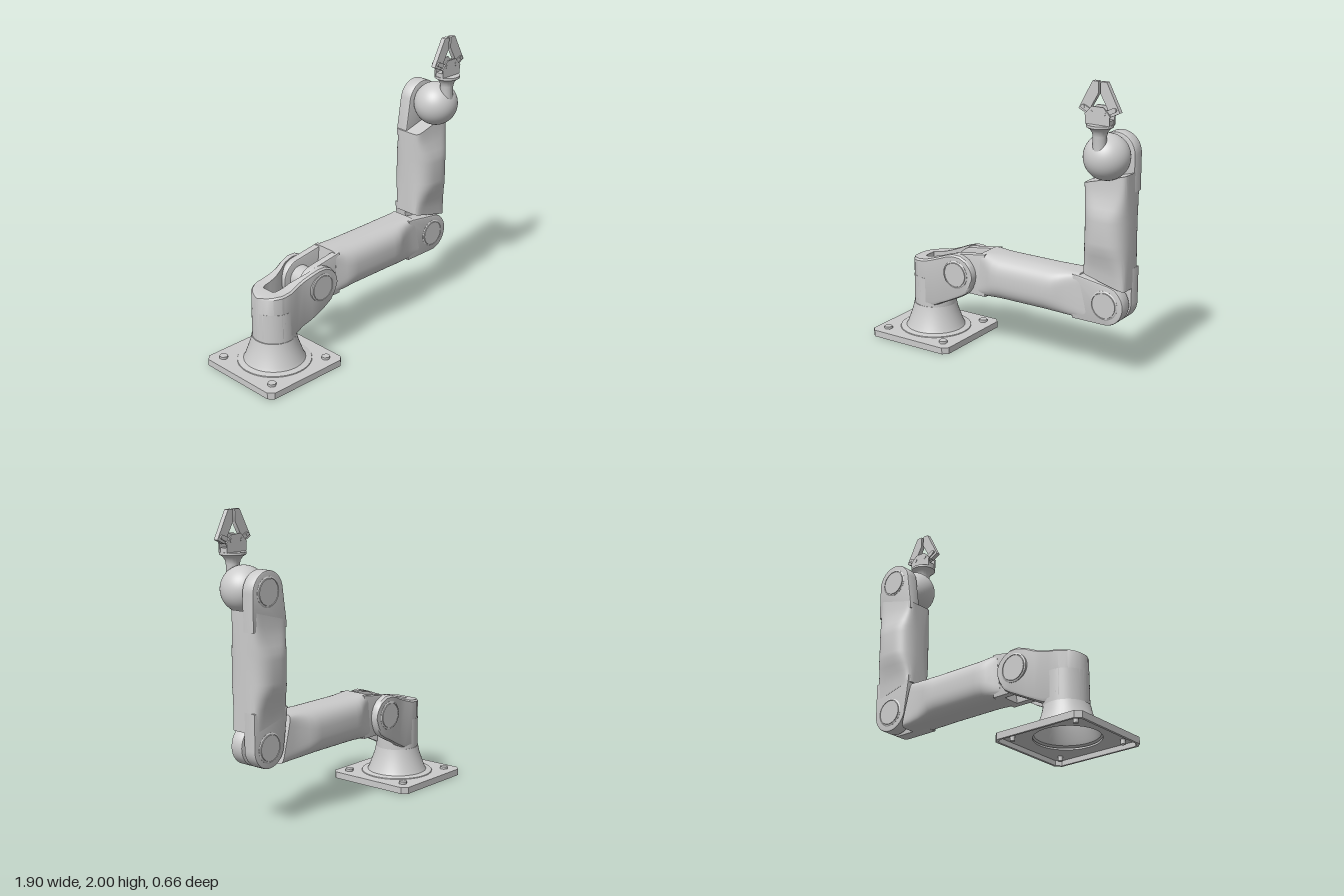
import * as THREE from 'three';
import { toCreasedNormals } from 'three/addons/utils/BufferGeometryUtils.js';

const grey = new THREE.MeshStandardMaterial({ color: 0xcccccc });
const greyOpen = new THREE.MeshStandardMaterial({ color: 0xcccccc, side: THREE.DoubleSide });

function add(parent, name, geometry, x = 0, y = 0, z = 0, material = grey) {
  const mesh = new THREE.Mesh(geometry, material);
  mesh.name = name;
  mesh.position.set(x, y, z);
  parent.add(mesh);
  return mesh;
}

// Closed skin over a row of cross-sections running along +x
function loft(sections, crease = 0.6) {
  const pos = [];
  const tri = (...pts) => pts.forEach((p) => pos.push(...p));
  const centre = (s) => [0, 1, 2].map((k) => s.reduce((t, p) => t + p[k], 0) / s.length);
  const n = sections[0].length;
  const first = sections[0], last = sections[sections.length - 1];
  const c0 = centre(first), c1 = centre(last);
  for (let i = 0; i < n; i++) {
    const j = (i + 1) % n;
    for (let k = 0; k < sections.length - 1; k++) {
      const a = sections[k], b = sections[k + 1];
      tri(a[i], a[j], b[i]);
      tri(a[j], b[j], b[i]);
    }
    tri(c0, first[j], first[i]);
    tri(c1, last[i], last[j]);
  }
  const g = new THREE.BufferGeometry();
  g.setAttribute('position', new THREE.Float32BufferAttribute(pos, 3));
  return toCreasedNormals(g, crease);
}

// Flat shape extruded from z0 to z1 with a small bevel
function slab(shape, z0, z1, bevel = 0.008) {
  const g = new THREE.ExtrudeGeometry(shape, {
    depth: z1 - z0 - 2 * bevel, bevelEnabled: bevel > 0, bevelThickness: bevel,
    bevelSize: bevel, bevelOffset: -bevel, bevelSegments: 2, curveSegments: 24,
  });
  g.translate(0, 0, z0 + bevel);
  return toCreasedNormals(g, 0.6);
}

const polygon = (pts) => new THREE.Shape(pts.map(([x, y]) => new THREE.Vector2(x, y)));

// Round joint cap: a raised disc inside a fine groove; side is +1 or -1 in z
function cap(parent, x, y, z, side) {
  const pts = [[0.098, -0.02], [0.098, 0.002], [0.092, 0.006], [0.088, 0.006], [0.087, 0.002],
    [0.084, 0.002], [0.083, 0.007], [0, 0.007]].map(([r, h]) => new THREE.Vector2(r, h));
  const mesh = add(parent, 'jointCap', toCreasedNormals(new THREE.LatheGeometry(pts, 48), 0.4), x, y, z);
  mesh.rotation.x = side * Math.PI / 2;
}

// Rounded lug about a joint; dir points from the joint towards the body
function lug(parent, name, jointX, dir, reach, z0, z1) {
  const pts = [];
  for (let i = 0; i <= 28; i++) {
    const a = -Math.PI / 2 - (i / 28) * Math.PI * 0.93;
    pts.push([jointX + dir * 0.135 * Math.cos(a), 0.135 * Math.sin(a)]);
  }
  pts.push([jointX + dir * 0.2, 0.166], [jointX + dir * reach, 0.168], [jointX + dir * reach, -0.135]);
  add(parent, name, slab(polygon(pts), z0, z1));
}

// Swelling limb body between two joints; stations are [x, halfWidth, squareness, slant]
function limbBody(parent, name, stations) {
  const top = 0.173, bottom = -0.135, mid = (top + bottom) / 2, half = (top - bottom) / 2;
  const pw = (v, n) => Math.sign(v) * Math.abs(v) ** (2 / n);
  add(parent, name, loft(stations.map(([x, w, n, slant]) => {
    const ring = [];
    for (let i = 0; i < 56; i++) {
      const a = (i / 56) * Math.PI * 2;
      const y = mid + half * pw(Math.cos(a), n);
      ring.push([x + slant * (top - y) / (top - bottom), y, w * pw(Math.sin(a), n)]);
    }
    return ring;
  }), 0.7));
}

function buildBase(root) {
  const base = new THREE.Group();
  base.name = 'base';
  base.position.x = -0.625;
  root.add(base);
  const octagon = (h, c) => [[-h + c, -h], [h - c, -h], [h, -h + c], [h, h - c],
    [h - c, h], [-h + c, h], [-h, h - c], [-h, -h + c]];
  // Hollow plate: top sheet with a round opening, plus a rim
  const sheet = polygon(octagon(0.328, 0.035));
  sheet.holes.push(new THREE.Path().absarc(0, 0, 0.215, 0, Math.PI * 2, true));
  const rim = polygon(octagon(0.328, 0.035));
  rim.holes.push(polygon(octagon(0.312, 0.03)));
  add(base, 'plateTop', slab(sheet, 0.033, 0.045, 0).rotateX(-Math.PI / 2));
  add(base, 'plateRim', slab(rim, 0, 0.034, 0).rotateX(-Math.PI / 2));
  for (const x of [-1, 1]) for (const z of [-1, 1]) {
    add(base, 'bolt', new THREE.CylinderGeometry(0.03, 0.03, 0.025, 6).toNonIndexed(), x * 0.24, 0.0495, z * 0.24);
    add(base, 'boltShank', new THREE.CylinderGeometry(0.016, 0.016, 0.035, 16), x * 0.24, 0.02, z * 0.24);
  }
  // Flared pedestal
  const flare = [[0.25, 0.044], [0.247, 0.05], [0.207, 0.058], [0.196, 0.08], [0.178, 0.13],
    [0.16, 0.18], [0.149, 0.232], [0.14, 0.234]].map(([r, y]) => new THREE.Vector2(r, y));
  add(base, 'pedestal', toCreasedNormals(new THREE.LatheGeometry(flare, 48), 0.6), 0, 0, 0, greyOpen);
}

function buildShoulder(root) {
  const shoulder = new THREE.Group();
  shoulder.name = 'shoulder';
  root.add(shoulder);
  add(shoulder, 'turret', new THREE.CylinderGeometry(0.147, 0.147, 0.21, 48), -0.622, 0.335, 0);
  // Fork cheek stations: x, outer z, inner z, bottom, top
  const stations = [
    [-0.769, 0.012, 0, 0.235, 0.55], [-0.762, 0.045, 0, 0.235, 0.555], [-0.745, 0.08, 0, 0.235, 0.56],
    [-0.72, 0.109, 0, 0.235, 0.564], [-0.67, 0.139, 0, 0.235, 0.57], [-0.669, 0.139, 0.045, 0.235, 0.57],
    [-0.65, 0.144, 0.058, 0.235, 0.573], [-0.6, 0.146, 0.062, 0.235, 0.58], [-0.54, 0.138, 0.066, 0.245, 0.598],
    [-0.48, 0.138, 0.085, 0.275, 0.62], [-0.42, 0.151, 0.108, 0.305, 0.645], [-0.36, 0.16, 0.111, 0.335, 0.662],
    [-0.3, 0.16, 0.111, 0.365, 0.66], [-0.25, 0.16, 0.111, 0.395, 0.636], [-0.22, 0.16, 0.111, 0.435, 0.603],
    [-0.203, 0.16, 0.111, 0.48, 0.57], [-0.197, 0.16, 0.111, 0.515, 0.535],
  ];
  for (const s of [1, -1]) {
    const sections = stations.map(([x, w, inner, b, t]) => {
      const e = Math.min(0.012, w * 0.4), r = Math.min(0.03, (w - inner) * 0.5, (t - b) * 0.3);
      const ring = [[t, inner], [t, w - e], [t - e, w], [b + r, w], [b + r * 0.3, w - r * 0.3], [b, w - r], [b, inner]]
        .map(([y, z]) => [x, y, s * z]);
      return s > 0 ? ring : ring.reverse();
    });
    add(shoulder, 'forkCheek', loft(sections));
    cap(shoulder, -0.335, 0.525, s * 0.16, s);
  }
  const pin = add(shoulder, 'shoulderPin', new THREE.CylinderGeometry(0.085, 0.085, 0.24, 40), -0.335, 0.525, 0);
  pin.rotation.x = Math.PI / 2;
}

function buildUpperArm(root) {
  const arm = new THREE.Group();
  arm.name = 'upperArm';
  arm.position.set(-0.335, 0.525, 0);
  root.add(arm);
  const L = 1.135;
  limbBody(arm, 'upperArmBody', [[0.18, 0.112, 7, -0.03], [0.215, 0.122, 5, -0.02], [0.25, 0.14, 3.6, 0],
    [0.29, 0.154, 2.9, 0], [0.34, 0.156, 2.7, 0], [0.7, 0.156, 2.7, 0], [0.755, 0.153, 2.9, 0],
    [0.8, 0.138, 3.4, 0], [0.85, 0.12, 4.5, 0.02], [0.9, 0.109, 6, 0.05], [L - 0.195, 0.105, 8, 0.08]]);
  for (const [z0, z1] of [[0.058, 0.11], [-0.11, -0.058]]) lug(arm, 'shoulderLug', 0, 1, 0.21, z0, z1);
  lug(arm, 'elbowLug', L, -1, 0.24, 0.012, 0.105);
  cap(arm, L, 0, 0.104, 1);
}

function buildForearm(root) {
  const arm = new THREE.Group();
  arm.name = 'forearm';
  arm.position.set(0.8, 0.525, 0);
  arm.rotation.z = Math.PI / 2;
  root.add(arm);
  const L = 0.985;
  limbBody(arm, 'forearmBody', [[0.19, 0.103, 8, -0.08], [0.235, 0.107, 6, -0.05], [0.28, 0.118, 4.5, -0.02],
    [0.33, 0.136, 3.4, 0], [0.385, 0.153, 2.9, 0], [0.42, 0.156, 2.7, 0], [0.565, 0.156, 2.7, 0],
    [0.605, 0.152, 2.9, 0], [0.65, 0.138, 3.4, 0], [0.7, 0.12, 4.5, 0.02], [0.745, 0.109, 6, 0.05],
    [L - 0.195, 0.105, 8, 0.085]]);
  lug(arm, 'elbowLug', 0, 1, 0.24, -0.102, -0.01);
  lug(arm, 'wristLug', L, -1, 0.24, -0.102, -0.01);
  for (const x of [0, L]) cap(arm, x, 0, -0.101, -1);
  // Hidden axle bridging the two elbow lugs
  const axle = add(arm, 'elbowAxle', new THREE.CylinderGeometry(0.09, 0.09, 0.06, 32));
  axle.rotation.x = Math.PI / 2;
}

function buildWrist(root) {
  const wrist = new THREE.Group();
  wrist.name = 'wrist';
  wrist.position.set(0.8, 0, 0);
  root.add(wrist);
  add(wrist, 'wristBall', new THREE.SphereGeometry(0.15, 48, 32), 0, 1.51, 0.105);
  const stem = [[0.044, 1.54], [0.044, 1.66], [0.05, 1.685], [0.064, 1.705], [0.086, 1.72], [0.086, 1.736], [0, 1.736]]
    .map(([r, y]) => new THREE.Vector2(r, y));
  add(wrist, 'wristStem', toCreasedNormals(new THREE.LatheGeometry(stem, 40), 0.6), 0, 0, 0.198);

  const gripper = new THREE.Group();
  gripper.name = 'gripper';
  gripper.position.z = 0.198;
  wrist.add(gripper);
  // Two side plates on a block, with the fingers pinned between them
  const plate = [[-0.085, 1.735], [0.085, 1.735], [0.085, 1.785], [0.09, 1.795], [0.04, 1.848], [-0.04, 1.848],
    [-0.09, 1.795], [-0.085, 1.785]];
  for (const z of [-0.037, 0.027]) add(gripper, 'gripperPlate', slab(polygon(plate), z, z + 0.01, 0));
  add(gripper, 'gripperBlock', new THREE.BoxGeometry(0.16, 0.03, 0.06), 0, 1.75, 0);
  for (const s of [1, -1]) {
    const finger = [[0.145, 1.82], [0.085, 1.79], [0.008, 1.925], [0.008, 2], [0.05, 2]].map(([x, y]) => [s * x, y]);
    add(gripper, 'finger', slab(polygon(finger), -0.016, 0.016, 0));
    const link = [[0.12, 1.825], [0.1, 1.848], [0.03, 1.815], [0.04, 1.785]].map(([x, y]) => [s * x, y]);
    for (const z of [-0.025, 0.017]) add(gripper, 'fingerLink', slab(polygon(link), z, z + 0.008, 0));
    for (const [x, y, len] of [[0.11, 1.836, 0.056], [0.045, 1.81, 0.08]]) {
      const pin = add(gripper, 'fingerPin', new THREE.CylinderGeometry(0.013, 0.013, len, 16), s * x, y, 0);
      pin.rotation.x = Math.PI / 2;
    }
  }
}

export function createModel() {
  const root = new THREE.Group();
  root.name = 'robotArm';
  [buildBase, buildShoulder, buildUpperArm, buildForearm, buildWrist].forEach((build) => build(root));
  return root;
}
